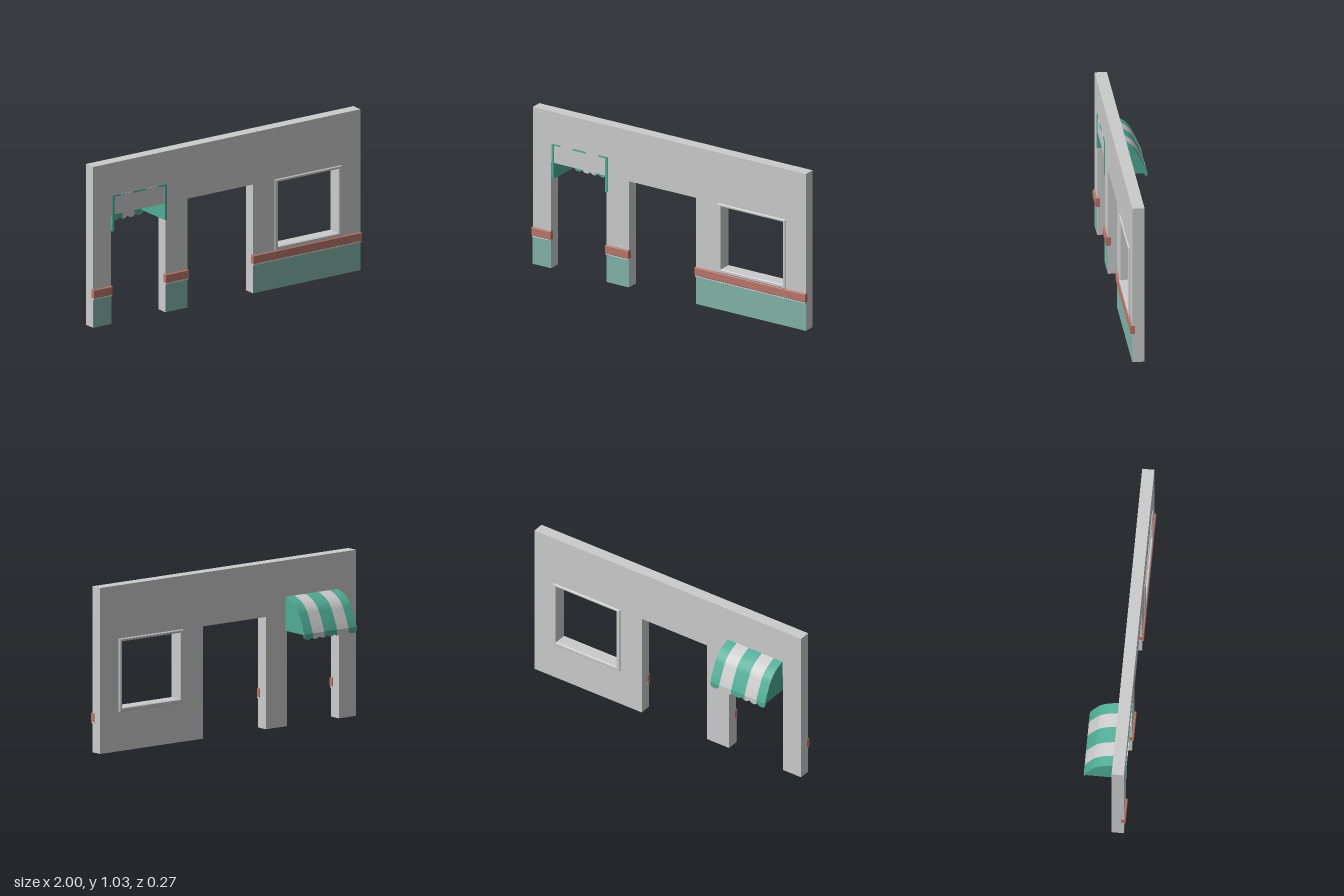
import * as THREE from 'three';

const mat = (color, side = THREE.FrontSide) => new THREE.MeshStandardMaterial({ color, side });
const grey = mat(0xcccccc), teal = mat(0x50ac96), paint = mat(0x81b4a8, THREE.DoubleSide), brick = mat(0xb9766a);

const shapeOf = (pts) => new THREE.Shape(pts.map(([x, y]) => new THREE.Vector2(x, y)));
const rect = (x0, x1, y0, y1) => [[x0, y0], [x1, y0], [x1, y1], [x0, y1]];

function addMesh(parent, name, geometry, material) {
  const mesh = new THREE.Mesh(geometry, material);
  mesh.name = name;
  parent.add(mesh);
  return mesh;
}

// Extrude an x/y outline from z0 to z1
function slab(shape, z0, z1, bevel = 0) {
  return new THREE.ExtrudeGeometry(shape, {
    depth: z1 - z0 - 2 * bevel, bevelEnabled: bevel > 0, bevelSize: bevel,
    bevelThickness: bevel, bevelOffset: -bevel, bevelSegments: 1,
  }).translate(0, 0, z0 + bevel);
}

// Extrude a z/y profile sideways from x0 to x1
function sweepX(pts, x0, x1) {
  return new THREE.ExtrudeGeometry(shapeOf(pts), { depth: x1 - x0, bevelEnabled: false })
    .rotateY(-Math.PI / 2).translate(x1, 0, 0);
}

function createAwning() {
  const awning = new THREE.Group();
  awning.name = 'awning';
  const left = -0.86, right = -0.45, board = 0.016;
  const curve = new THREE.SplineCurve([
    [0.13, 0.825], [0.05, 0.808], [-0.02, 0.78], [-0.066, 0.741],
    [-0.093, 0.693], [-0.118, 0.64], [-0.135, 0.595],
  ].map(([z, y]) => new THREE.Vector2(z, y)));
  const top = curve.getPoints(24).map((p) => [p.x, p.y]);

  // Curved side boards
  const side = [...top, [0.13, 0.595]];
  addMesh(awning, 'awningSideRight', sweepX(side, left, left + board), teal);
  addMesh(awning, 'awningSideLeft', sweepX(side, right - board, right), teal);

  // Striped canopy with a scalloped hanging edge
  const inner = curve.getPoints(24).map((p, i) => {
    const t = curve.getTangent(i / 24);
    return [p.x - t.y * 0.01, p.y + t.x * 0.01];
  }).reverse();
  inner[inner.length - 1][0] = 0.13;
  const canopy = [...top, ...inner];
  const scallop = (right - left) / 7;
  const hem = (x) => {
    const u = (((x - left) / scallop) % 1) * 2 - 1;
    return 0.583 - 0.02 * Math.sqrt(Math.max(0, 1 - u * u));
  };
  const edges = [left, -0.795, -0.706, -0.606, -0.517, right];
  for (let i = 0; i < 5; i++) {
    const x0 = edges[i], x1 = edges[i + 1], color = i % 2 ? grey : teal;
    // The outer stripes sit between the side boards
    const c0 = i === 0 ? x0 + board : x0, c1 = i === 4 ? x1 - board : x1;
    addMesh(awning, `canopyStripe${i + 1}`, sweepX(canopy, c0, c1), color);
    const outline = [[x1, 0.6], [x0, 0.6]];
    for (let k = 0; k <= 24; k++) {
      const x = x0 + ((x1 - x0) * k) / 24;
      outline.push([x, hem(x)]);
    }
    addMesh(awning, `valanceStripe${i + 1}`, slab(shapeOf(outline), -0.135, -0.124), color);
  }
  return awning;
}

export function createModel() {
  const model = new THREE.Group();
  model.name = 'shopWall';
  const back = 0.05, front = 0.125;

  // Wall with two doorways and a window hole
  const wall = shapeOf([
    [-1, 0], [-0.865, 0], [-0.865, 0.7], [-0.46, 0.7], [-0.46, 0], [-0.295, 0],
    [-0.295, 0.7], [0.195, 0.7], [0.195, 0], [1, 0], [1, 1.035], [-1, 1.035],
  ]);
  wall.holes.push(shapeOf(rect(0.37, 0.842, 0.26, 0.69)));
  addMesh(model, 'wall', slab(wall, back, front), grey);

  // Window frame lining the hole, with a small raised lip on both faces
  const frame = shapeOf(rect(0.355, 0.855, 0.245, 0.702));
  frame.holes.push(shapeOf(rect(0.381, 0.833, 0.27, 0.683)));
  addMesh(model, 'windowFrame', slab(frame, 0.04, 0.133, 0.005), grey);

  // Painted plinth, pale ledge and brick band on each pier
  const band = [[0.108, 0.19], [0.133, 0.19], [0.137, 0.194], [0.137, 0.241], [0.133, 0.245], [0.108, 0.245]];
  const ledge = [[0.108, 0.18], [0.132, 0.18], [0.134, 0.182], [0.134, 0.19], [0.108, 0.19]];
  [[-1, -0.865], [-0.46, -0.295], [0.195, 1]].forEach(([x0, x1], i) => {
    const plinth = new THREE.PlaneGeometry(x1 - x0, 0.181);
    plinth.translate((x0 + x1) / 2, 0.0905, front + 0.001);
    addMesh(model, `plinth${i + 1}`, plinth, paint);
    addMesh(model, `ledge${i + 1}`, sweepX(ledge, x0 - 0.001, x1 + 0.001), grey);
    addMesh(model, `brickBand${i + 1}`, sweepX(band, x0 - 0.002, x1 + 0.002), brick);
  });

  model.add(createAwning());
  return model;
}
